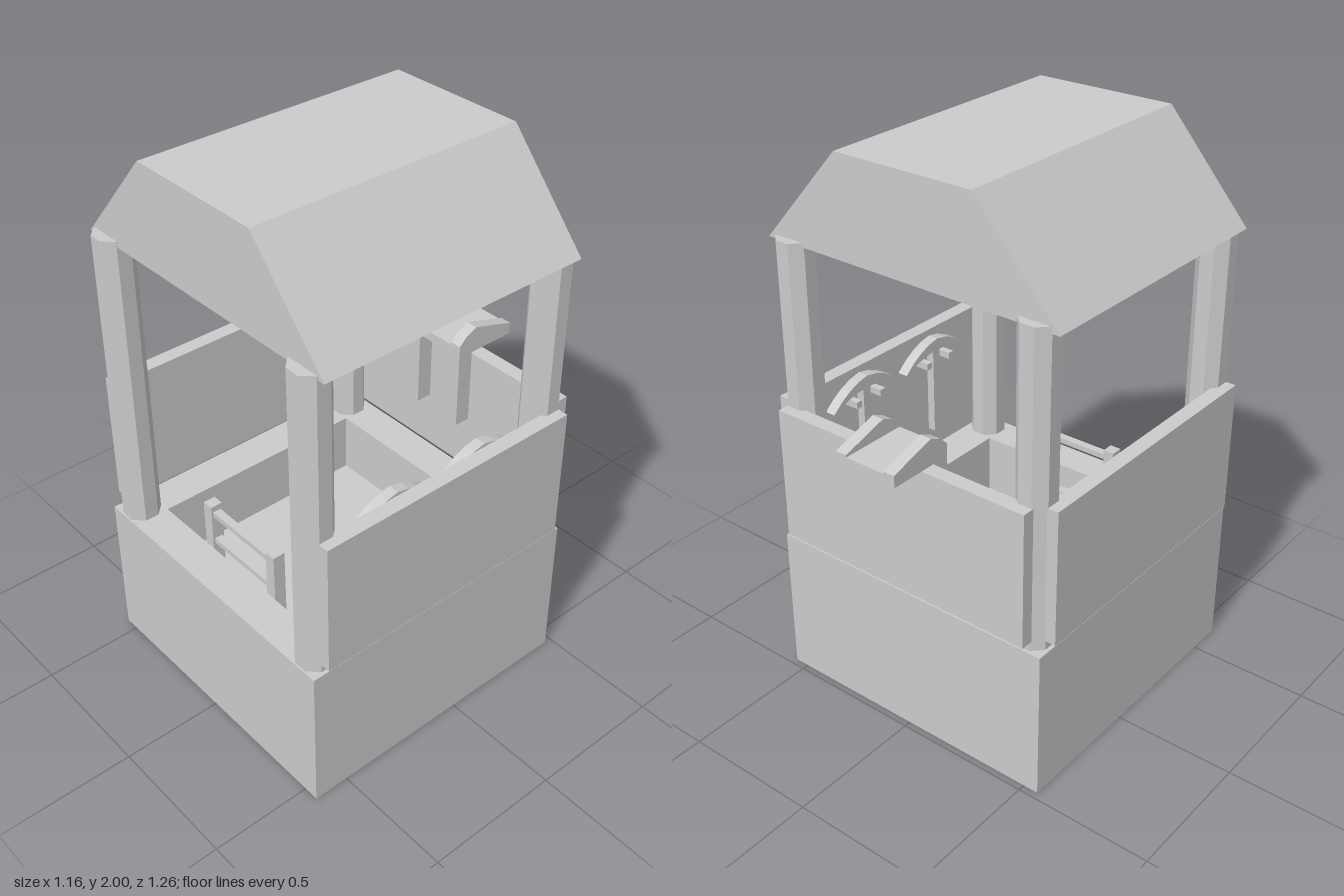
import * as THREE from 'three';

export function createModel() {
  const model = new THREE.Group();
  const material = new THREE.MeshStandardMaterial({ color: 0xcccccc, flatShading: true });

  function add(name, geometry, x = 0, y = 0, z = 0, parent = model) {
    const mesh = new THREE.Mesh(geometry, material);
    mesh.name = name;
    mesh.position.set(x, y, z);
    parent.add(mesh);
    return mesh;
  }

  // box given by its limits on each axis
  function block(name, [x0, x1], [y0, y1], [z0, z1], parent = model) {
    return add(name, new THREE.BoxGeometry(x1 - x0, y1 - y0, z1 - z0),
      (x0 + x1) / 2, (y0 + y1) / 2, (z0 + z1) / 2, parent);
  }

  const shapeOf = (points) => new THREE.Shape(points.map(([a, b]) => new THREE.Vector2(a, b)));
  const extrude = (shape, depth) =>
    new THREE.ExtrudeGeometry(shape, { depth, bevelEnabled: false, curveSegments: 4 });

  // profile drawn in (z, y), given a width centred on x = 0
  const sideProfile = (shape, width) =>
    extrude(shape, width).translate(0, 0, -width / 2).rotateY(-Math.PI / 2);

  // tub: thick rim around a sunken floor
  const rim = shapeOf([[-0.555, -0.63], [0.555, -0.63], [0.555, 0.475], [-0.555, 0.475]]);
  rim.holes.push(new THREE.Path(
    [[-0.42, -0.495], [-0.42, 0.34], [0.42, 0.34], [0.42, -0.495]].map(([a, b]) => new THREE.Vector2(a, b))));
  add('tubWalls', extrude(rim, 0.555).rotateX(-Math.PI / 2));
  block('tubFloor', [-0.42, 0.42], [0, 0.325], [-0.34, 0.495]);

  // side and back panels, front left open
  for (const s of [-1, 1])
    add('sidePanel', new THREE.BoxGeometry(0.055, 0.49, 1.02), s * 0.5525, 0.835, 0.08);
  block('backPanel', [-0.51, 0.51], [0.59, 1.08], [-0.505, -0.45]);

  // eight-sided corner posts
  const post = new THREE.CylinderGeometry(0.067, 0.067, 1.115, 8).rotateY(Math.PI / 8);
  for (const x of [-0.48, 0.48])
    for (const z of [-0.402, 0.562]) add('cornerPost', post, x, 1.1125, z);

  // solid roof with sloping sides
  const roof = shapeOf([[-0.57, 1.648], [0.57, 1.657], [0.265, 2], [-0.26, 2]]);
  add('roof', extrude(roof, 1.015), 0, 0, -0.43);

  // bracket hooked over the back panel
  const bracket = new THREE.Group();
  bracket.name = 'backBracket';
  model.add(bracket);
  const arm = sideProfile(shapeOf([[-0.635, 1.085], [-0.39, 1.085], [-0.39, 1.13],
    [-0.42, 1.16], [-0.465, 1.18], [-0.635, 1.128]]), 0.043);
  for (const s of [-1, 1]) {
    add('bracketArm', arm, s * 0.0985, 0, 0, bracket);
    add('bracketLeg', new THREE.BoxGeometry(0.043, 0.285, 0.06), s * 0.0985, 0.9425, -0.42, bracket);
  }
  block('bracketPlate', [-0.08, 0.08], [1.085, 1.12], [-0.635, -0.39], bracket);

  // ladder on the inside of the front rim
  const ladder = new THREE.Group();
  ladder.name = 'ladder';
  model.add(ladder);
  for (const s of [-1, 1])
    add('ladderRail', new THREE.BoxGeometry(0.042, 0.405, 0.045), s * 0.169, 0.5275, 0.47, ladder);
  for (const y of [0.467, 0.582, 0.697])
    add('ladderRung', new THREE.BoxGeometry(0.3, 0.02, 0.03), 0, y, 0.47, ladder);

  // two picks hung on pegs inside the left panel
  const head = new THREE.Shape();
  head.moveTo(-0.17, 0.985);
  head.quadraticCurveTo(-0.09, 1.06, 0, 1.07);
  head.quadraticCurveTo(0.09, 1.06, 0.17, 0.985);
  head.quadraticCurveTo(0.08, 1.025, 0, 1.025);
  head.quadraticCurveTo(-0.08, 1.025, -0.17, 0.985);
  const headGeometry = sideProfile(head, 0.04);
  for (const z of [-0.126, 0.246]) {
    const pick = new THREE.Group();
    pick.name = 'hangingPick';
    pick.position.set(0.485, 0, z);
    model.add(pick);
    add('pickHead', headGeometry, 0, 0, 0, pick);
    add('pickHandle', new THREE.BoxGeometry(0.03, 0.36, 0.035), 0, 0.87, 0, pick);
    for (const s of [-1, 1])
      add('peg', new THREE.BoxGeometry(0.08, 0.025, 0.025), 0.005, 0.985, s * 0.06, pick);
  }

  return model;
}
